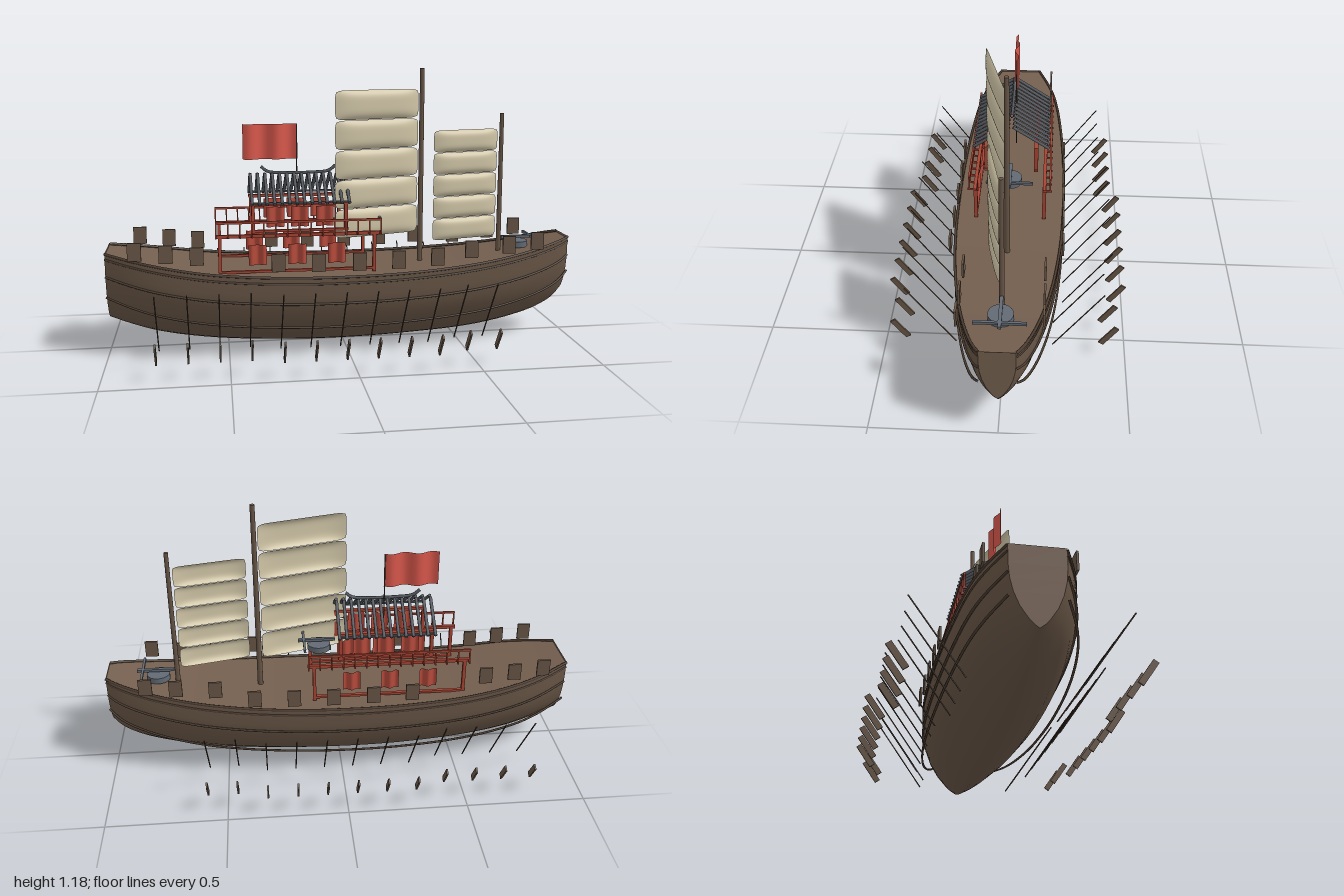
import * as THREE from 'three';

const mat = (name, color, side = THREE.FrontSide) => {
  const m = new THREE.MeshStandardMaterial({ color, side });
  m.name = name;
  return m;
};

export function createModel() {
  const M = {
    hull: mat('hull wood', 0x6a5747, THREE.DoubleSide),
    deck: mat('deck wood', 0x745f4f, THREE.DoubleSide),
    trim: mat('dark trim', 0x4b3c31),
    wood: mat('spar wood', 0x675546),
    sail: mat('sailcloth', 0xd3c8a9, THREE.DoubleSide),
    red: mat('red lacquer', 0xa84534),
    curtain: mat('curtain red', 0xb54a3b, THREE.DoubleSide),
    cloth: mat('flag red', 0xd9584c, THREE.DoubleSide),
    roof: mat('roof grey', 0x53585e),
    slate: mat('slate metal', 0x626a74),
  };
  const ship = new THREE.Group();
  ship.name = 'ship';

  const add = (name, geo, material, x = 0, y = 0, z = 0) => {
    const m = new THREE.Mesh(geo, material);
    m.name = name;
    m.position.set(x, y, z);
    ship.add(m);
    return m;
  };
  const box = (name, material, w, h, d, x, y, z) =>
    add(name, new THREE.BoxGeometry(w, h, d), material, x, y, z);
  // Round bar between two points
  const bar = (name, material, a, b, r) => {
    const p = new THREE.Vector3(...a), q = new THREE.Vector3(...b), d = q.clone().sub(p);
    const m = add(name, new THREE.CylinderGeometry(r, r, d.length(), 6), material);
    m.position.copy(p).add(q).multiplyScalar(0.5);
    m.quaternion.setFromUnitVectors(new THREE.Vector3(0, 1, 0), d.normalize());
  };
  const tube = (name, material, pts, r) =>
    add(name, new THREE.TubeGeometry(new THREE.CatmullRomCurve3(pts), 64, r, 6), material);
  // Indexed surface from rows of [x, y, z]
  const loft = (rows) => {
    const n = rows[0].length, index = [];
    for (let i = 0; i < rows.length - 1; i++) {
      for (let j = 0; j < n - 1; j++) {
        const a = i * n + j;
        index.push(a, a + 1, a + n, a + 1, a + n + 1, a + n);
      }
    }
    const g = new THREE.BufferGeometry();
    g.setAttribute('position', new THREE.Float32BufferAttribute(rows.flat(2), 3));
    g.setIndex(index);
    g.computeVertexNormals();
    return g;
  };

  // Hull stations: x, half beam, keel height, sheer height
  const stations = [
    [-1, 0.1, 0.14, 0.438], [-0.9, 0.148, 0.1, 0.418], [-0.8, 0.182, 0.068, 0.4],
    [-0.6, 0.214, 0.031, 0.368], [-0.3, 0.233, 0.006, 0.346], [0, 0.235, 0, 0.341],
    [0.3, 0.223, 0.01, 0.348], [0.6, 0.188, 0.035, 0.371], [0.8, 0.146, 0.077, 0.4],
    [0.9, 0.116, 0.113, 0.42], [0.97, 0.087, 0.158, 0.436], [1, 0.068, 0.195, 0.443],
  ];
  const spline = new THREE.CubicInterpolant(
    stations.map((s) => s[0]), stations.flatMap((s) => s.slice(1)), 3);
  const at = (x) => Array.from(spline.evaluate(x));
  const xs = Array.from({ length: 61 }, (_, i) => Math.sin((i / 60 - 0.5) * Math.PI));

  // Half section: fraction of beam, fraction of depth
  const half = [[0, 0], [0.19, 0.05], [0.36, 0.115], [0.63, 0.25], [0.83, 0.41],
    [0.95, 0.58], [1, 0.76], [1, 1]];
  const outline = [...half.slice(1).reverse().map(([u, v]) => [-u, v]), ...half];
  const section = (x) => {
    const [w, k, s] = at(x);
    return outline.map(([u, v]) => [x, k + (s - k) * v, w * u]);
  };
  add('hull', loft(xs.map(section)), M.hull);

  // Flat bow and stern ends
  for (const [name, x] of [['bowPlate', 1], ['sternPlate', -1]]) {
    const s = section(x);
    add(name, loft([s.slice(0, 8), s.slice(7).reverse()]), M.deck);
  }

  // Deck following the sheer
  add('deck', loft(xs.map((x) => {
    const [w, , s] = at(x);
    return [-1, 0, 1].map((u) => [x, s - 0.01, u * w * 0.99]);
  })), M.deck);

  // Gunwales and side wales
  for (const side of [-1, 1]) {
    for (const [name, f, r] of [['gunwale', 0.012, 0.006], ['upperWale', 0.09, 0.005],
      ['middleWale', 0.34, 0.005], ['lowerWale', 0.63, 0.005]]) {
      tube(name, M.trim, xs.filter((_, i) => i % 3 === 0).map((x) => {
        const [w, k, s] = at(x);
        return new THREE.Vector3(x, s - f * (s - k), side * (w - 0.001));
      }), r);
    }
  }

  // Masts with billowing sail panels
  const rig = (mastX, mastTop, r, x0, x1, z0, y0, y1) => {
    add('mast', new THREE.CylinderGeometry(r * 0.9, r * 1.1, mastTop - 0.34, 12), M.wood,
      mastX, (mastTop + 0.34) / 2, 0);
    const w = Math.hypot(x1 - x0, z0), h = (y1 - y0) / 5, angle = Math.atan2(z0, x1 - x0);
    for (let i = 0; i < 5; i++) {
      const g = new THREE.PlaneGeometry(2, 2, 24, 16), p = g.attributes.position;
      for (let k = 0; k < p.count; k++) {
        const u = p.getX(k), v = p.getY(k);
        p.setXYZ(k, u * (w / 2) * (1 - 0.03 * v ** 6), v * (h / 2) * (0.985 - 0.12 * u ** 14),
          0.018 * (1 - v ** 4) * (1 - u ** 4));
      }
      g.computeVertexNormals();
      add('sailPanel', g, M.sail, (x0 + x1) / 2, y0 + h * (i + 0.5), z0 / 2).rotation.y = angle;
    }
  };
  rig(0.345, 1.18, 0.011, -0.045, 0.33, 0.105, 0.47, 1.095);
  rig(0.703, 0.985, 0.01, 0.385, 0.685, 0.067, 0.44, 0.92);

  // Hanging cloth with vertical folds
  const drape = (name, material, w, h, waves, depth, x, y, z) => {
    const g = new THREE.PlaneGeometry(w, h, 28, 1), p = g.attributes.position;
    for (let k = 0; k < p.count; k++) {
      p.setZ(k, depth * Math.sin((p.getX(k) / w + 0.5) * waves * Math.PI * 2));
    }
    g.computeVertexNormals();
    add(name, g, material, x, y, z);
  };
  drape('flag', M.cloth, 0.232, 0.15, 2, 0.01, -0.308, 0.875, -0.012);
  bar('flagpole', M.trim, [-0.195, 0.52, -0.014], [-0.195, 0.945, -0.014], 0.0025);

  // Open two-storey deckhouse, mirrored across the ship
  for (const s of [-1, 1]) {
    for (const x of [-0.53, 0.115]) box('lowerPost', M.red, 0.014, 0.165, 0.016, x, 0.42, s * 0.148);
    box('lowerBeam', M.red, 0.69, 0.014, 0.014, -0.203, 0.503, s * 0.148);
    box('sill', M.red, 0.65, 0.01, 0.014, -0.207, 0.352, s * 0.148);
    for (const x of [-0.39, 0]) box('upperPost', M.red, 0.014, 0.125, 0.018, x, 0.57, s * 0.108);
    box('upperBeam', M.red, 0.41, 0.012, 0.018, -0.195, 0.628, s * 0.108);
    box('upperSill', M.red, 0.41, 0.01, 0.014, -0.195, 0.514, s * 0.108);
    for (const x of [-0.375, -0.21, -0.045]) {
      drape('lowerCurtain', M.curtain, 0.075, 0.085, 1.5, 0.007, x, 0.422, s * 0.148);
    }
    for (const x of [-0.297, -0.195, -0.09]) {
      drape('upperCurtain', M.curtain, 0.075, 0.085, 1.5, 0.007, x, 0.573, s * 0.108);
    }

    // Balcony railing on short brackets
    box('handrail', M.red, 0.69, 0.009, 0.008, -0.203, 0.564, s * 0.172);
    for (let i = 0; i < 15; i++) {
      const x = -0.545 + i * 0.0489;
      box('baluster', M.red, 0.006, 0.06, 0.006, x, 0.535, s * 0.172);
      box('bracket', M.red, 0.006, 0.008, 0.036, x, 0.504, s * 0.162);
    }

    // Sloping roof slats
    for (let i = 0; i < 14; i++) {
      const x = -0.395 + i * 0.031;
      bar('roofSlat', M.roof, [x, 0.738, s * 0.008], [x, 0.635, s * 0.162], 0.0075);
    }
    box('roofPurlin', M.roof, 0.41, 0.008, 0.01, -0.195, 0.638, s * 0.15);
  }
  tube('roofRidge', M.roof, [[-0.35, 0.772], [-0.32, 0.75], [-0.25, 0.743], [-0.14, 0.743],
    [-0.06, 0.75], [-0.03, 0.772]].map(([x, y]) => new THREE.Vector3(x, y, 0)), 0.007);

  // Swivelling crossbows on round bases
  for (const [x, y] of [[0.085, 0.508], [0.785, 0.392]]) {
    add('crossbowBase', new THREE.CylinderGeometry(0.05, 0.05, 0.026, 20), M.slate, x, y + 0.013, 0);
    box('crossbowStock', M.slate, 0.16, 0.012, 0.014, x + 0.01, y + 0.042, 0);
    box('crossbowArms', M.slate, 0.01, 0.012, 0.2, x + 0.065, y + 0.042, 0);
  }

  for (const s of [-1, 1]) {
    // Square shields along the sides
    for (const x of [-0.875, -0.75, -0.625, -0.295, -0.13, 0.04, 0.205, 0.37, 0.535, 0.7, 0.825]) {
      const z = Math.abs(x) > 0.45 ? 0.163 : 0.232;
      box('shield', M.wood, 0.056, 0.075, 0.009, x, 0.4 + 0.07 * x * x, s * z);
    }
    // Banked oars, the middle six set further out
    for (let i = 0; i < 12; i++) {
      const x = -0.787 + i * 0.1242, o = i >= 4 && i <= 9 ? 0.04 : 0;
      bar('oarShaft', M.trim, [x, 0.045, s * (0.2 + o)], [x, 0.33, s * (0.4 + o)], 0.0028);
      const blade = box('oarBlade', M.wood, 0.007, 0.107, 0.024, x, 0.107, s * (0.428 + o));
      blade.rotation.x = s * Math.atan2(0.2, 0.285);
    }
  }
  return ship;
}
